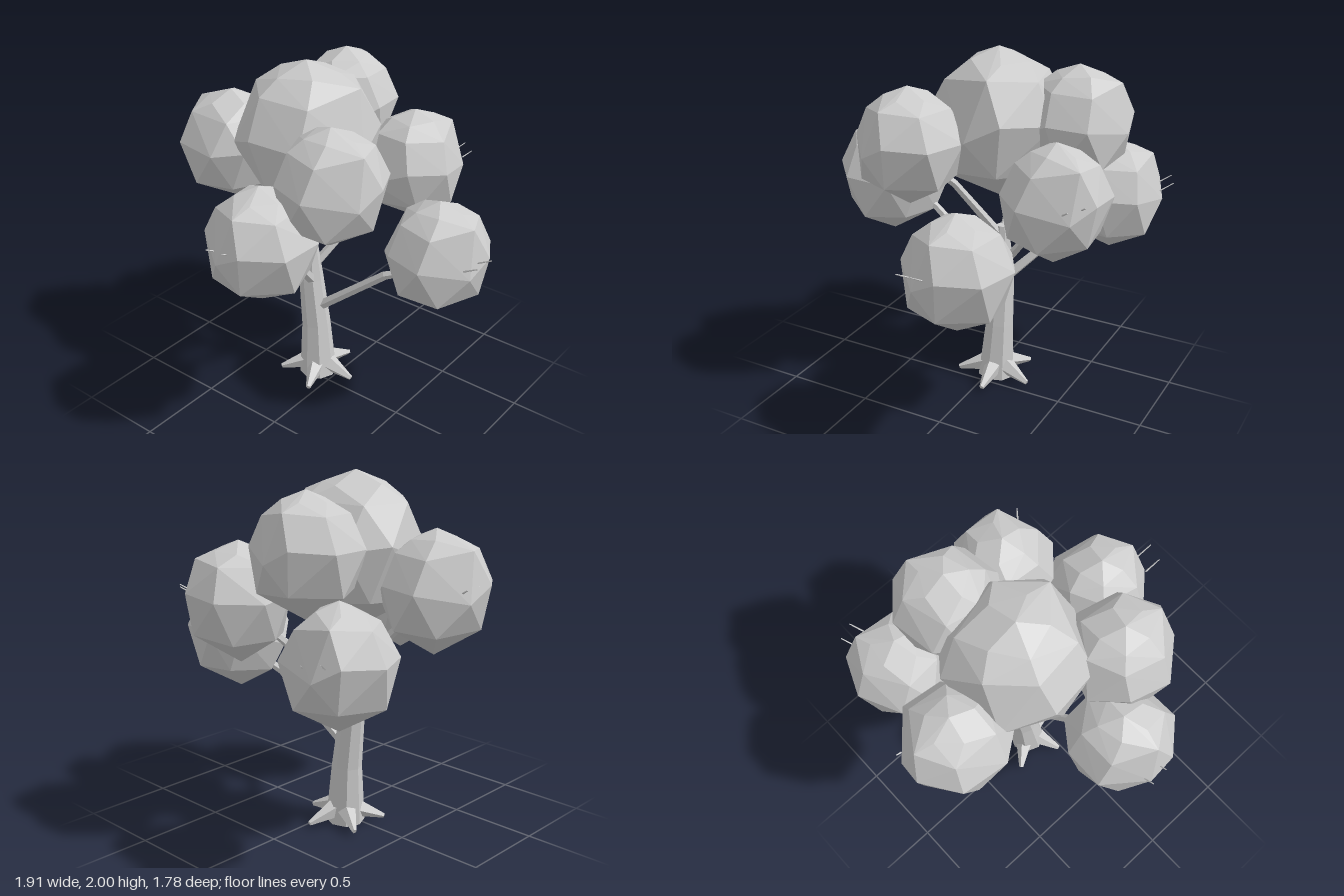
import * as THREE from 'three';
import { ConvexGeometry } from 'three/addons/geometries/ConvexGeometry.js';

const V = (x, y, z) => new THREE.Vector3(x, y, z);

// Faceted tapered limb through points [x, y, z, radius]
function limbGeometry(points, sides) {
  const n = points.length;
  const centres = points.map(p => V(p[0], p[1], p[2]));
  const turns = centres.map((c, i) => {
    const dir = centres[Math.min(i + 1, n - 1)].clone().sub(centres[Math.max(i - 1, 0)]).normalize();
    return new THREE.Quaternion().setFromUnitVectors(V(0, 1, 0), dir);
  });
  const geo = new THREE.CylinderGeometry(1, 1, 1, sides, n - 1);
  const pos = geo.attributes.position;
  const v = V(0, 0, 0);
  for (let i = 0; i < pos.count; i++) {
    v.fromBufferAttribute(pos, i);
    const row = Math.round((v.y + 0.5) * (n - 1));
    v.y = 0;
    v.multiplyScalar(points[row][3]).applyQuaternion(turns[row]).add(centres[row]);
    pos.setXYZ(i, v.x, v.y, v.z);
  }
  const flat = geo.toNonIndexed();
  flat.computeVertexNormals();
  return flat;
}

// Irregular faceted leaf clump: rings of [angle in degrees, radius, height]
function clumpGeometry() {
  const rings = [
    [-75, 0.13, 0.275], [-10, 0.13, 0.28], [60, 0.12, 0.285], [130, 0.13, 0.275], [200, 0.13, 0.28],
    [-120, 0.22, 0.21], [-50, 0.22, 0.22], [5, 0.225, 0.24], [70, 0.22, 0.2], [130, 0.21, 0.21], [185, 0.22, 0.21],
    [-104, 0.3, 0.04], [-53, 0.3, 0.05], [-8, 0.295, 0.07], [21, 0.285, -0.01],
    [78, 0.295, 0.04], [123, 0.285, 0.05], [165, 0.3, -0.04], [-139, 0.3, 0.06],
    [-125, 0.25, -0.17], [-70, 0.25, -0.18], [-5, 0.255, -0.16], [55, 0.25, -0.18], [110, 0.25, -0.17], [175, 0.24, -0.19]
  ];
  const pts = rings.map(([a, r, y]) => {
    const t = THREE.MathUtils.degToRad(a);
    return V(r * Math.cos(t), y, r * Math.sin(t));
  });
  pts.push(V(0, 0.33, 0), V(0, -0.33, 0));
  return new ConvexGeometry(pts);
}

export function createModel() {
  const tree = new THREE.Group();
  tree.name = 'tree';
  const grey = new THREE.MeshStandardMaterial({ color: 0xcccccc });
  grey.name = 'plain grey';

  const add = (parent, name, geo) => {
    const mesh = new THREE.Mesh(geo, grey);
    mesh.name = name;
    parent.add(mesh);
    return mesh;
  };

  // Trunk, leaning slightly
  add(tree, 'trunk', limbGeometry([
    [-0.11, 0.01, -0.04, 0.11], [-0.13, 0.35, -0.05, 0.085],
    [-0.165, 0.65, -0.05, 0.072], [-0.17, 0.96, -0.045, 0.035]
  ], 8));

  // Five roots around the foot
  for (let i = 0; i < 5; i++) {
    const a = i * Math.PI * 2 / 5 - 0.06;
    const at = (r, y, w) => [-0.108 + r * Math.cos(a), y, -0.05 + r * Math.sin(a), w];
    add(tree, 'root', limbGeometry([at(0.07, 0.085, 0.055), at(0.23, 0.035, 0.014)], 5));
  }

  // Branches reaching into the leaf clumps
  const branches = [
    [[-0.1, 0.48, -0.05, 0.03], [0.32, 0.82, -0.11, 0.026], [0.46, 0.88, -0.14, 0.02]],
    [[-0.2, 0.64, -0.08, 0.03], [-0.39, 0.92, -0.35, 0.022], [-0.46, 1.0, -0.45, 0.02]],
    [[-0.14, 0.66, -0.02, 0.03], [-0.05, 1.05, 0.33, 0.022], [-0.02, 1.12, 0.45, 0.02]],
    [[-0.18, 0.92, -0.05, 0.03], [-0.45, 1.2, 0, 0.024], [-0.56, 1.3, 0.02, 0.02]],
    [[-0.16, 0.72, -0.06, 0.028], [0.04, 1.1, -0.36, 0.022], [0.12, 1.2, -0.44, 0.02]],
    [[-0.17, 0.9, -0.05, 0.03], [-0.2, 1.3, -0.28, 0.026], [-0.22, 1.5, -0.4, 0.02]],
    [[-0.16, 0.9, -0.03, 0.028], [0.06, 1.26, 0.14, 0.022], [0.18, 1.4, 0.24, 0.02]]
  ];
  for (const b of branches) add(tree, 'branch', limbGeometry(b, 5));

  // Leaf clumps: centre, turn in degrees, width scale, height scale, twig length
  const clump = clumpGeometry();
  const clumps = [
    [[-0.16, 1.575, -0.02], -20, 1.36, 1.29, 0],
    [[0.605, 1.02, -0.18], 0, 1.01, 1, 1],
    [[0.01, 1.22, 0.57], 78, 1.02, 1, 0.5],
    [[-0.655, 1.41, 0.04], 175, 1.03, 1, 0.2],
    [[-0.545, 1.12, -0.555], -127, 1.01, 1, 0.8],
    [[0.2, 1.32, -0.53], -60, 1, 1, 0.5],
    [[0.255, 1.51, 0.305], 3, 1.03, 1, 0],
    [[-0.23, 1.61, -0.46], -110, 1.01, 1, 0]
  ];
  for (const [centre, turn, wide, high, twig] of clumps) {
    const group = new THREE.Group();
    group.name = 'leafClump';
    group.position.set(...centre);
    group.rotation.y = -THREE.MathUtils.degToRad(turn);
    add(group, 'leaves', clump).scale.set(wide, high, wide);
    // Two thin twigs poking out of the outer side
    if (twig > 0) {
      for (const [z, reach] of [[0.03, 0.1], [0.13, 0.075]]) {
        const d = reach * twig;
        add(group, 'twig', limbGeometry([
          [0.24, 0.05, z, 0.005], [0.255 + d, 0.06 + 0.6 * d, z + 0.2 * d, 0.003]
        ], 4));
      }
    }
    tree.add(group);
  }
  return tree;
}
